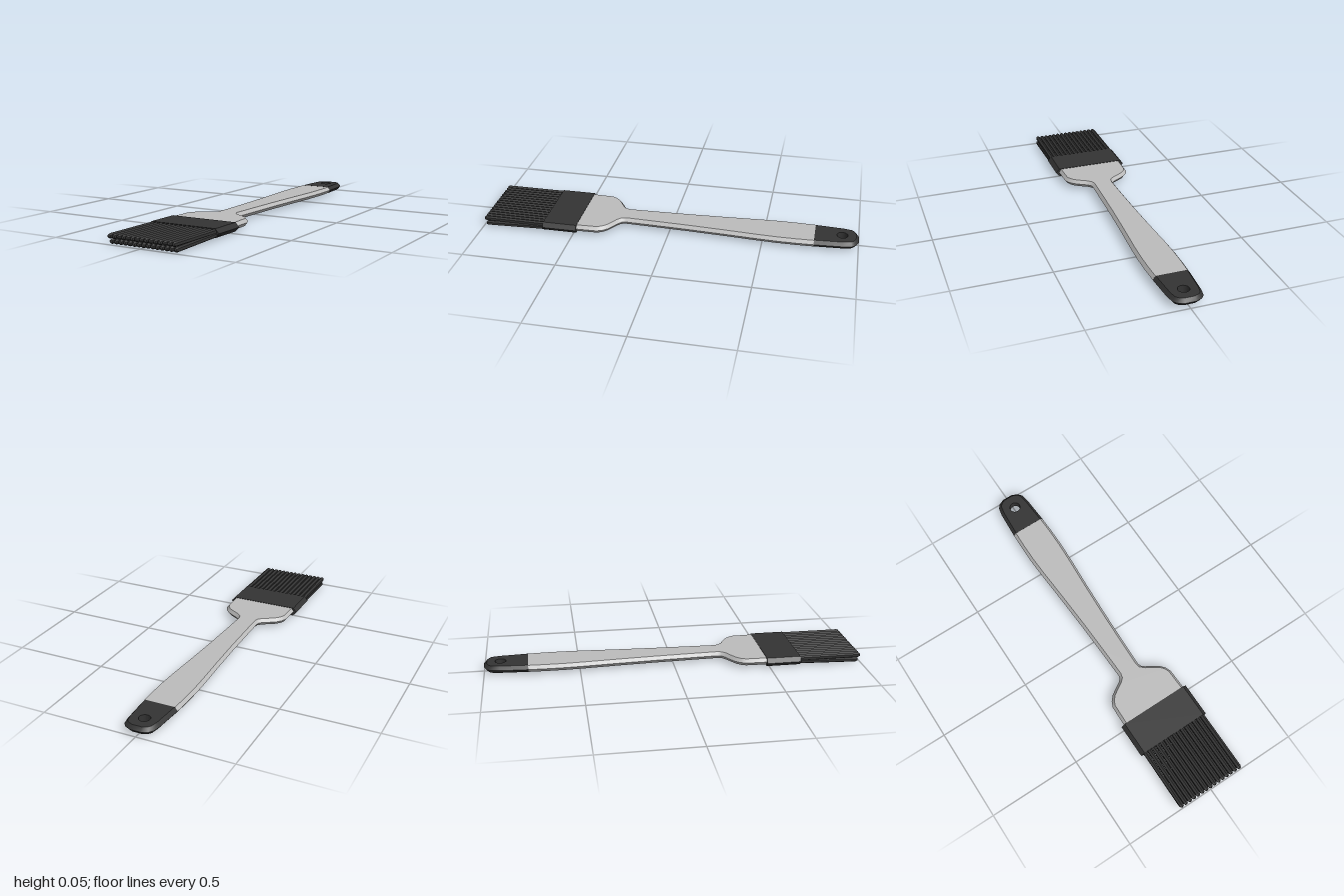
import * as THREE from 'three';
import { toCreasedNormals } from 'three/addons/utils/BufferGeometryUtils.js';

// Flat slab with sides that bevel out to a ridge at mid-height.
// stations: [z, halfWidth] from back to front; hole: { z, r } or null
function slab(stations, y0, y1, inset, roundBack = false, hole = null) {
  const n = stations.length;
  const inner = stations.map(([z, w], i) => {
    const prev = i > 0 ? stations[i - 1] : roundBack ? [z, -w] : stations[0];
    const next = stations[Math.min(i + 1, n - 1)];
    const t = new THREE.Vector2(next[0] - prev[0], next[1] - prev[1]).normalize();
    const cut = i === n - 1 || (i === 0 && !roundBack);
    return cut ? [z, w - inset] : [z + t.y * inset, w - t.x * inset];
  });
  const ring = (half) => [
    ...half.map(([z, w]) => [-w, z]),
    ...half.slice().reverse().map(([z, w]) => [w, z]),
  ];
  const outerRing = ring(stations), innerRing = ring(inner);
  const holeRing = [];
  if (hole) {
    for (let i = 0; i < 20; i++) {
      const a = (i / 20) * Math.PI * 2;
      holeRing.push([Math.cos(a) * hole.r, hole.z - Math.sin(a) * hole.r]);
    }
  }

  const pos = [];
  const put = ([x, z], y) => pos.push(x, y, z);
  const wall = (lo, yLo, hi, yHi) => {
    for (let i = 0; i < lo.length; i++) {
      const j = (i + 1) % lo.length;
      put(lo[i], yLo); put(lo[j], yLo); put(hi[j], yHi);
      put(lo[i], yLo); put(hi[j], yHi); put(hi[i], yHi);
    }
  };
  const mid = (y0 + y1) / 2;
  wall(innerRing, y0, outerRing, mid);
  wall(outerRing, mid, innerRing, y1);
  if (hole) wall(holeRing.slice().reverse(), y0, holeRing.slice().reverse(), y1);

  // Top and bottom faces
  const flat = (r) => r.map(([x, z]) => new THREE.Vector2(x, -z));
  const tris = THREE.ShapeUtils.triangulateShape(flat(innerRing), hole ? [flat(holeRing)] : []);
  const all = [...innerRing, ...holeRing];
  for (const [a, b, c] of tris) {
    put(all[a], y1); put(all[b], y1); put(all[c], y1);
    put(all[a], y0); put(all[c], y0); put(all[b], y0);
  }
  const geo = new THREE.BufferGeometry();
  geo.setAttribute('position', new THREE.Float32BufferAttribute(pos, 3));
  return toCreasedNormals(geo, 0.55);
}

export function createModel() {
  const grey = new THREE.MeshStandardMaterial({ color: 0xbcbcbc });
  grey.name = 'handle grey';
  const black = new THREE.MeshStandardMaterial({ color: 0x333333 });
  black.name = 'rubber black';

  const model = new THREE.Group();
  model.name = 'pastryBrush';
  const add = (parent, name, geo, mat) => {
    const mesh = new THREE.Mesh(geo, mat);
    mesh.name = name;
    parent.add(mesh);
    return mesh;
  };

  // Handle: tapered grip, narrow neck and flared shoulders
  add(model, 'handle', slab([
    [-0.77, 0.095], [-0.68, 0.098], [-0.58, 0.098], [-0.48, 0.094], [-0.3, 0.083],
    [-0.1, 0.073], [0.1, 0.066], [0.24, 0.062], [0.258, 0.066], [0.275, 0.085],
    [0.293, 0.117], [0.315, 0.15], [0.34, 0.172], [0.37, 0.185], [0.5, 0.189],
  ], 0.015, 0.052, 0.014), grey);

  // Rounded end cap with hanging hole
  add(model, 'endCap', slab([
    [-1, 0.028], [-0.986, 0.06], [-0.965, 0.077], [-0.92, 0.086], [-0.77, 0.0955],
  ], 0.0145, 0.0525, 0.016, true, { z: -0.913, r: 0.029 }), black);

  // Band that holds the bristles
  add(model, 'ferrule', slab([[0.482, 0.205], [0.665, 0.205]], 0.009, 0.054, 0.02), black);

  // Two rows of six-sided bristles, the lower row splayed down
  const r = 0.013;
  const bristle = (length) => {
    const g = new THREE.LatheGeometry([
      [r, 0], [r, length - 0.014], [0.009, length - 0.004], [0, length],
    ].map(([x, y]) => new THREE.Vector2(x, y)), 6).rotateX(Math.PI / 2).toNonIndexed();
    g.computeVertexNormals();
    return g;
  };
  const rows = [
    { name: 'upperBristles', x: -0.179, y: 0.04, z: 0.63, drop: 0, tip: 1 },
    { name: 'lowerBristles', x: -0.176, y: 0.024, z: 0.63, drop: 0.011, tip: 0.99 },
  ];
  for (const row of rows) {
    const group = new THREE.Group();
    group.name = row.name;
    const length = row.tip - row.z;
    const geo = bristle(length);
    for (let i = 0; i < 15; i++) {
      const m = add(group, 'bristle', geo, black);
      m.position.set(row.x + i * 0.0256, row.y, row.z);
      m.rotation.x = Math.asin(row.drop / length);
    }
    model.add(group);
  }
  return model;
}
